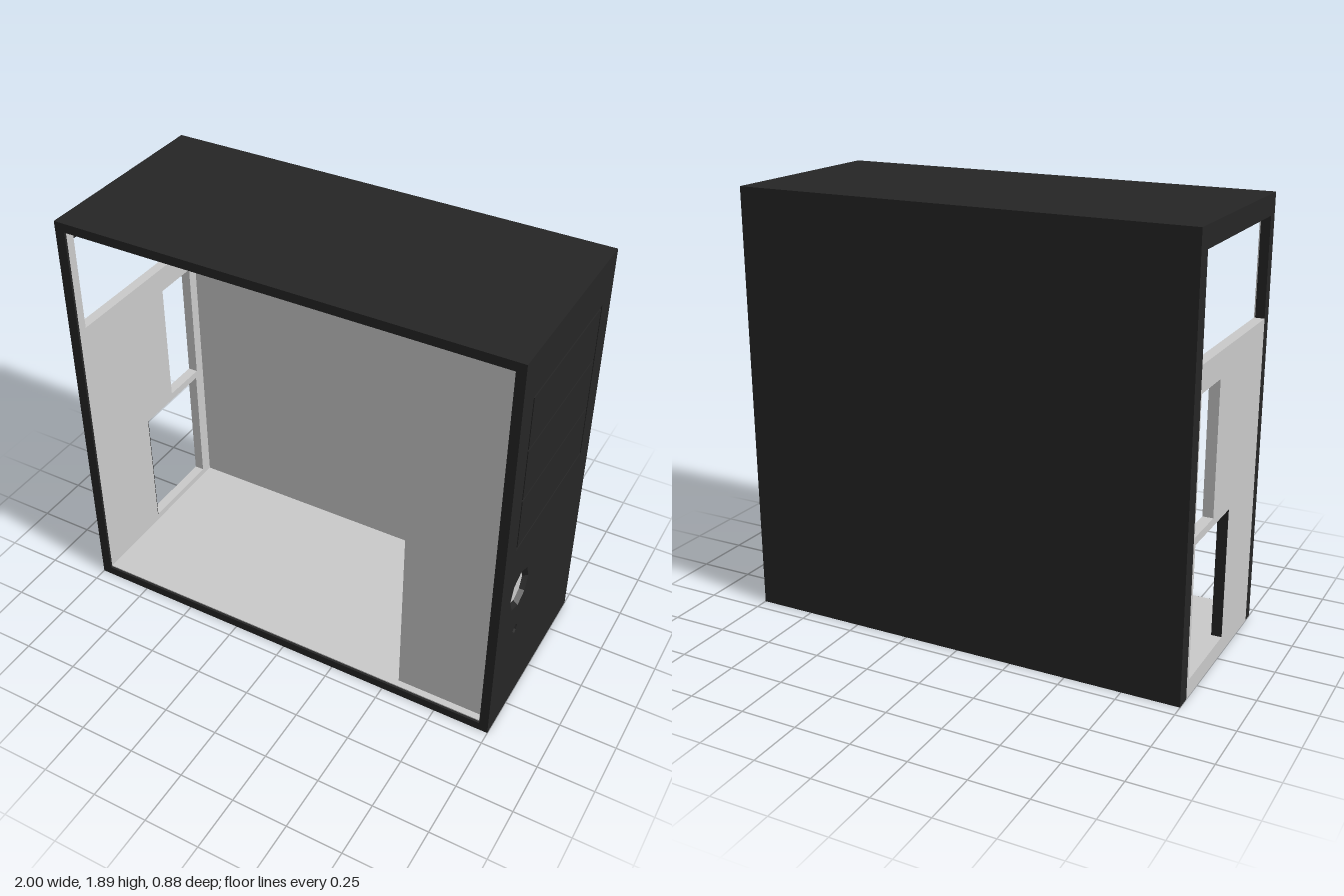
import * as THREE from 'three';

const H = 1.89, D = 0.44, T = 0.045, SKIN = 0.005;
const material = (color) => new THREE.MeshStandardMaterial({ color, flatShading: true });
const black = material(0x262626), grey = material(0xcccccc), red = material(0xee1111);

export function createModel() {
  const model = new THREE.Group();

  const add = (name, geometry, mat) => {
    const mesh = new THREE.Mesh(geometry, mat);
    mesh.name = name;
    model.add(mesh);
    return mesh;
  };

  // Box given by its limits along each axis
  const box = (name, mat, [x0, x1], [y0, y1], [z0, z1]) =>
    add(name, new THREE.BoxGeometry(x1 - x0, y1 - y0, z1 - z0), mat)
      .position.set((x0 + x1) / 2, (y0 + y1) / 2, (z0 + z1) / 2);

  // Rectangle in the end-wall plane, where shape x is -z
  const rect = (Type, z0, z1, y0, y1) => new Type([[-z1, y0], [-z0, y0], [-z0, y1], [-z1, y1]]
    .map(([a, b]) => new THREE.Vector2(a, b)));
  const round = (z, y, r) => new THREE.Path().absarc(-z, y, r, 0, Math.PI * 2);

  // End wall extruded from x0 to x1, with holes
  const endWall = (name, mat, shape, holes, x0, x1) => {
    shape.holes = holes;
    const geometry = new THREE.ExtrudeGeometry(shape, { depth: x1 - x0, bevelEnabled: false, curveSegments: 4 });
    add(name, geometry.rotateY(Math.PI / 2).translate(x0, 0, 0), mat);
  };

  // Outer shell, open at the front
  box('topPanel', black, [-1, 1], [H - T + SKIN, H], [-D, D]);
  box('bottomPanel', black, [-1 + T, 1], [0, T - SKIN], [-D, D]);
  box('backPanel', black, [-1, 1], [0, H], [-D, -0.415]);

  // Grey inner skins
  box('topLining', grey, [-1 + T, 1 - T], [H - T, H - T + SKIN], [-0.41, 0.43]);
  box('bottomLining', grey, [-1 + T, 1 - T], [T - SKIN, T], [-0.41, 0.43]);
  box('backLining', grey, [-1 + T, 1 - T], [T, H - T], [-0.415, -0.41]);

  // Drive wall with bay opening, button hole and lamp hole
  const wallHoles = () => [
    rect(THREE.Path, -0.34, 0.34, 0.963, 1.692),
    round(0.245, 0.68, 0.092),
    round(0.245, 0.45, 0.022),
  ];
  endWall('driveWall', black, rect(THREE.Shape, -0.415, D, 0, H - T + SKIN), wallHoles(), 1 - T + SKIN, 1);
  endWall('driveWallLining', grey, rect(THREE.Shape, -0.41, 0.43, T, H - T), wallHoles(), 1 - T, 1 - T + SKIN);

  // Three bay covers with narrow gaps around them
  for (let i = 0; i < 3; i++) {
    const y = 0.973 + i * 0.239;
    box('bayCover', black, [1 - T, 1], [y, y + 0.231], [-0.33, 0.33]);
  }

  // Recessed power button in a tapered ring, and lamp
  const ring = new THREE.CylinderGeometry(0.092, 0.074, 0.02, 8, 1, true);
  const ringMaterial = black.clone();
  ringMaterial.side = THREE.DoubleSide;
  const disc = (r, depth) => new THREE.CylinderGeometry(r, r, depth, 8);
  for (const [name, geometry, mat, x, y] of [
    ['buttonRing', ring, ringMaterial, 0.99, 0.68],
    ['powerButton', disc(0.075, 0.025), grey, 0.9675, 0.68],
    ['lamp', disc(0.022, 0.025), red, 0.9675, 0.45],
  ]) {
    const part = add(name, geometry, mat);
    part.rotation.z = -Math.PI / 2;
    part.position.set(x, y, 0.245);
  }

  // Connector wall: supply opening above, card slot and port openings below
  endWall('connectorWall', grey, rect(THREE.Shape, -0.37, 0.39, 0, 1.375), [
    rect(THREE.Path, -0.36, -0.148, 0.69, 1.262),
    rect(THREE.Path, -0.35, 0.05, 0.077, 0.655),
  ], -1, -1 + T);
  box('portOpeningEdge', black, [-1, -1 + T], [0.077, 0.655], [0.047, 0.05]);

  // Dark frame around the connector wall
  for (const [z0, z1, inner] of [[0.39, D, 0.43], [-0.415, -0.37, -0.37]]) {
    box('connectorPost', black, [-1, -1 + T - SKIN], [0, H - T + SKIN], [z0, z1]);
    box('connectorPostLining', grey, [-1 + T - SKIN, -1 + T], [T, H - T], [z0, inner]);
  }
  box('connectorPostEdge', black, [-1 + T - SKIN, -1 + T], [0, H - T + SKIN], [0.43, D]);
  box('connectorLintel', black, [-1, -1 + T], [1.8, H - T + SKIN], [-0.37, 0.39]);

  // Upright panel shielding the drive bays
  box('driveShield', grey, [0.56, 1 - T], [T, H - T], [0.385, 0.4]);

  return model;
}
